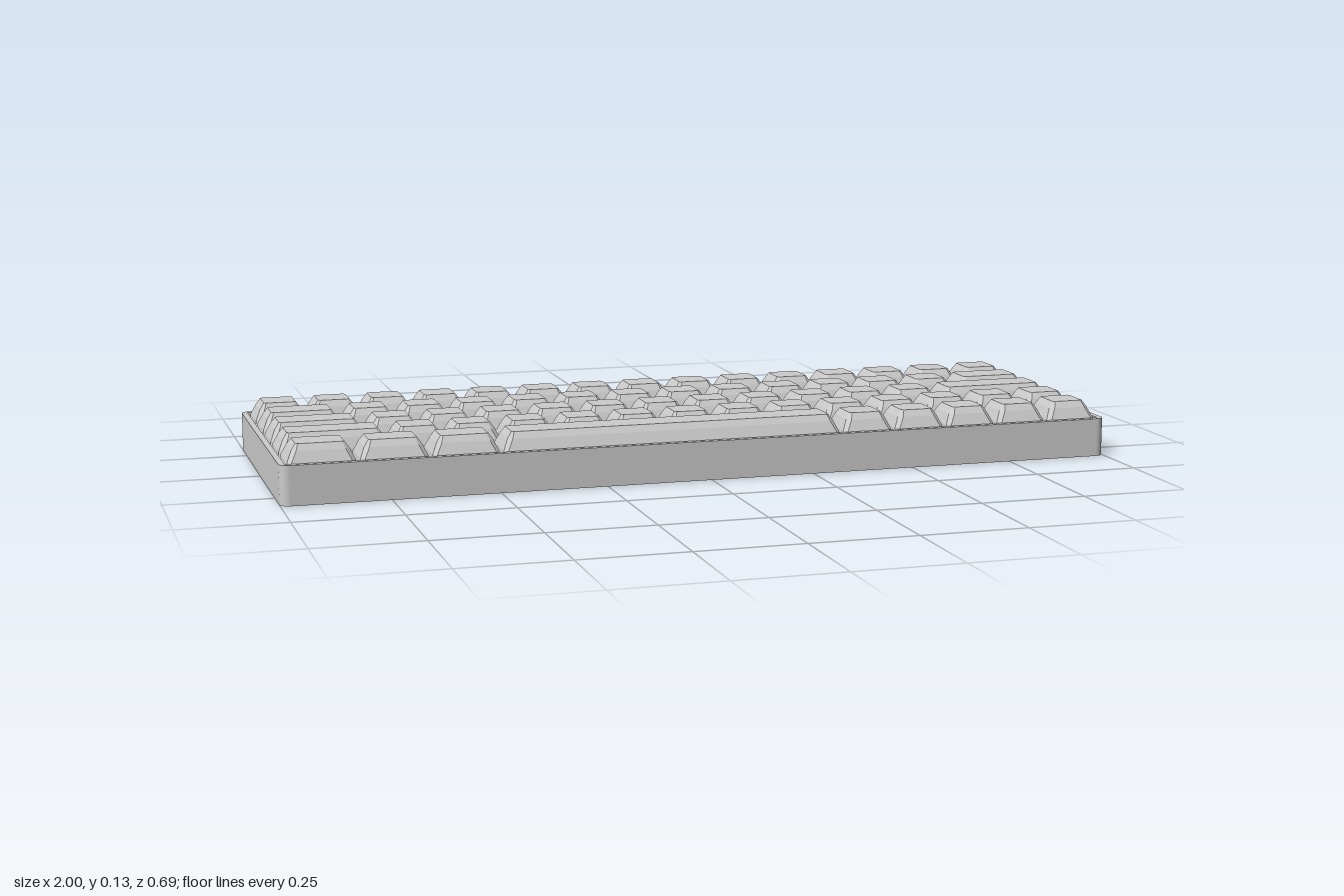
import * as THREE from 'three';

const mat = new THREE.MeshStandardMaterial({ color: 0xcccccc, flatShading: true });
const PITCH = 0.1313;
const W = 1, D = 0.343, H = 0.092, WALL = 0.014, R = 0.022;

function add(parent, geo, name) {
  const mesh = new THREE.Mesh(geo, mat);
  mesh.name = name;
  parent.add(mesh);
  return mesh;
}

// Rounded slot outline centred on (x, y)
function slot(Type, x, y, w, h) {
  const r = h / 2, a = w / 2 - r, p = new Type();
  p.absarc(x + a, y, r, -Math.PI / 2, Math.PI / 2, false);
  p.absarc(x - a, y, r, Math.PI / 2, Math.PI * 1.5, false);
  p.closePath();
  return p;
}

// Keycap: chamfered rectangles stacked from skirt to top
function keycapGeometry(width) {
  const sections = [ // y, inset from the key's cell, corner chamfer
    [0.062, 0.0015, 0.006], [0.092, 0.0052, 0.009],
    [0.117, 0.0165, 0.010], [0.132, 0.0270, 0.005],
  ];
  const rings = sections.map(([y, inset, c]) => {
    const a = width / 2 - inset, b = PITCH / 2 - inset;
    return [[a, b - c], [a - c, b], [c - a, b], [-a, b - c],
      [-a, c - b], [c - a, -b], [a - c, -b], [a, c - b]].map(([x, z]) => [x, y, -z]);
  });
  const pos = [];
  for (let s = 0; s < rings.length - 1; s++) {
    for (let i = 0; i < 8; i++) {
      const j = (i + 1) % 8, lo = rings[s], hi = rings[s + 1];
      pos.push(...lo[i], ...lo[j], ...hi[j], ...lo[i], ...hi[j], ...hi[i]);
    }
  }
  const top = rings[rings.length - 1];
  for (let i = 1; i < 7; i++) pos.push(...top[0], ...top[i], ...top[i + 1]);
  const geo = new THREE.BufferGeometry();
  geo.setAttribute('position', new THREE.Float32BufferAttribute(pos, 3));
  geo.computeVertexNormals();
  return geo;
}

function buildCase() {
  const g = new THREE.Group();
  g.name = 'case';

  // Front and side walls with rounded corners, open along the back
  const e = W - 0.04, s = new THREE.Shape();
  s.moveTo(-e, D);
  s.lineTo(-e, D - WALL);
  s.lineTo(-W + WALL, D - WALL);
  s.lineTo(-W + WALL, -D + WALL);
  s.lineTo(W - WALL, -D + WALL);
  s.lineTo(W - WALL, D - WALL);
  s.lineTo(e, D - WALL);
  s.lineTo(e, D);
  s.absarc(W - R, D - R, R, Math.PI / 2, 0, true);
  s.absarc(W - R, -D + R, R, 0, -Math.PI / 2, true);
  s.absarc(-W + R, -D + R, R, -Math.PI / 2, -Math.PI, true);
  s.absarc(-W + R, D - R, R, Math.PI, Math.PI / 2, true);
  const walls = new THREE.ExtrudeGeometry(s, { depth: H, bevelEnabled: false, curveSegments: 5 });
  add(g, walls.rotateX(-Math.PI / 2), 'frontAndSideWalls');

  // Back wall pierced by the cable port
  const px = -0.86, py = 0.045;
  const back = new THREE.Shape();
  back.moveTo(-e, 0);
  back.lineTo(e, 0);
  back.lineTo(e, H);
  back.lineTo(-e, H);
  back.closePath();
  back.holes.push(slot(THREE.Path, px, py, 0.062, 0.026));
  add(g, new THREE.ExtrudeGeometry(back, { depth: WALL, bevelEnabled: false }), 'backWall').position.z = -D;

  // Port sleeve, its end and its tongue
  const sleeve = slot(THREE.Shape, px, py, 0.068, 0.03);
  sleeve.holes.push(slot(THREE.Path, px, py, 0.062, 0.026));
  add(g, new THREE.ExtrudeGeometry(sleeve, { depth: 0.04, bevelEnabled: false }), 'portSleeve').position.z = -D + 0.003;
  add(g, new THREE.BoxGeometry(0.068, 0.03, 0.004), 'portEnd').position.set(px, py, -D + 0.044);
  add(g, new THREE.BoxGeometry(0.042, 0.006, 0.034), 'portTongue').position.set(px, py, -D + 0.026);

  // Underside and the deck beneath the keys
  const plate = (y, h, name) =>
    add(g, new THREE.BoxGeometry(2 * (W - WALL), h, 2 * (D - WALL)), name).position.y = y + h / 2;
  plate(0, 0.01, 'underside');
  plate(0.062, 0.004, 'deck');
  return g;
}

// Key widths of each row in key units, back row first
const ones = (n) => Array(n).fill(1);
const ROWS = [
  ones(15),
  [1.5, ...ones(12), 1.5],
  [1.75, ...ones(11), 2.25],
  [2, ...ones(13)],
  [1.25, 1.25, 1.25, 6.25, ...ones(5)],
];

export function createModel() {
  const model = new THREE.Group();
  model.name = 'keyboard';
  model.add(buildCase());

  const cache = new Map();
  ROWS.forEach((row, r) => {
    const group = new THREE.Group();
    group.name = `keyRow${r + 1}`;
    group.position.z = (r - 2) * PITCH;
    let x = -7.5 * PITCH;
    for (const units of row) {
      const w = units * PITCH;
      if (!cache.has(units)) cache.set(units, keycapGeometry(w));
      add(group, cache.get(units), units > 6 ? 'spaceBar' : 'keycap').position.x = x + w / 2;
      x += w;
    }
    model.add(group);
  });
  return model;
}
